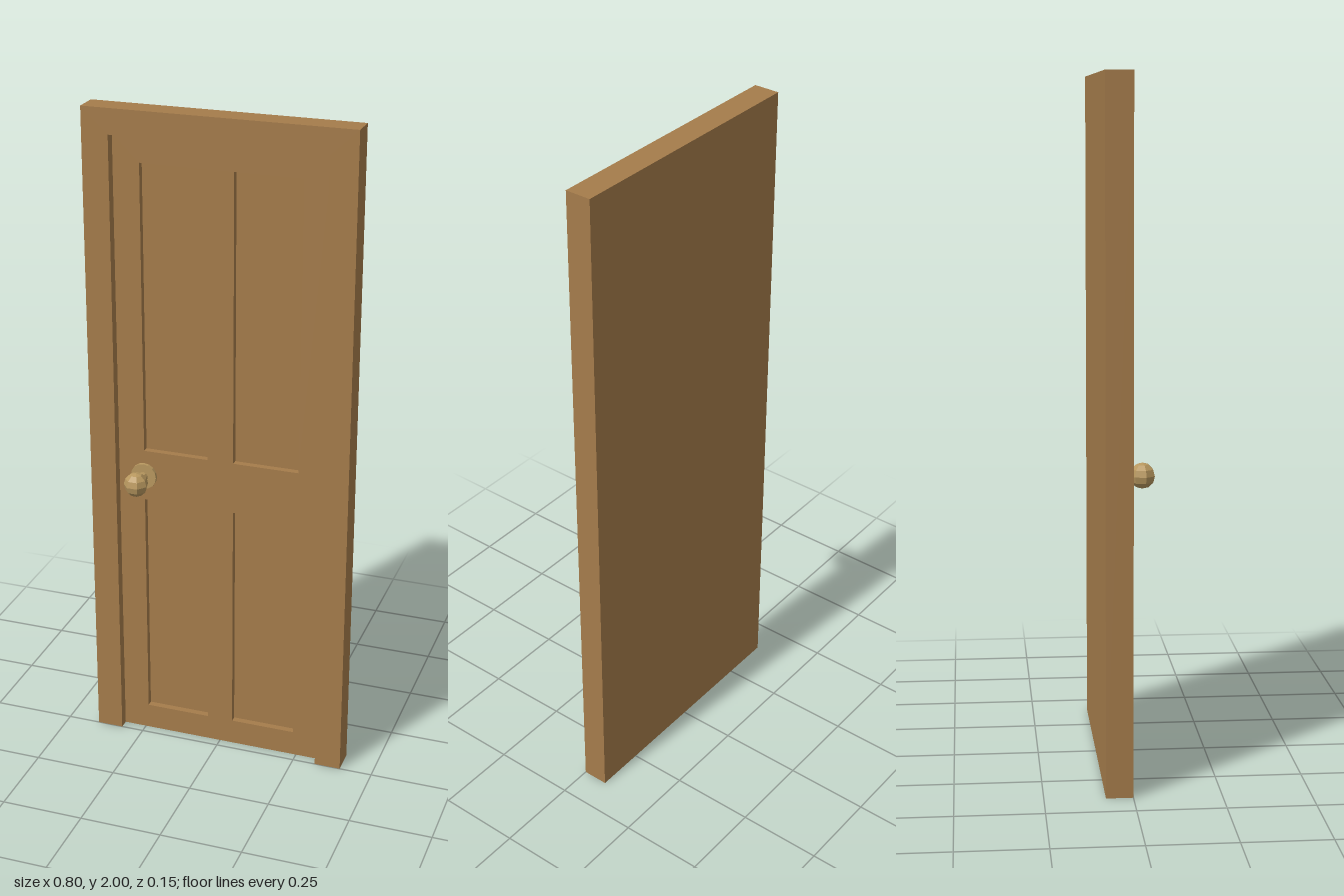
import * as THREE from 'three';

const BACK = -0.077, LEAF = -0.03, PANEL = -0.05;

function polygon(points, Type = THREE.Shape) {
  return new Type(points.map(([x, y]) => new THREE.Vector2(x, y)));
}

function rect(x0, y0, x1, y1, Type) {
  return polygon([[x0, y0], [x1, y0], [x1, y1], [x0, y1]], Type);
}

function slab(shape, z0, z1) {
  const g = new THREE.ExtrudeGeometry(shape, { depth: z1 - z0, bevelEnabled: false });
  return g.translate(0, 0, z0);
}

export function createModel() {
  const wood = new THREE.MeshStandardMaterial({ color: 0xa57c4b });
  wood.name = 'wood';
  const brass = new THREE.MeshStandardMaterial({ color: 0xb8985f });
  brass.name = 'brass';
  brass.flatShading = true;

  const model = new THREE.Group();
  model.name = 'door';
  const add = (name, geometry, material, parent = model) => {
    const mesh = new THREE.Mesh(geometry, material);
    mesh.name = name;
    parent.add(mesh);
    return mesh;
  };

  // Surround: two jambs and a head, open at the floor
  add('frame', slab(polygon([
    [-0.4, 0], [-0.32, 0], [-0.32, 1.925], [0.32, 1.925],
    [0.32, 0], [0.4, 0], [0.4, 2], [-0.4, 2],
  ]), BACK, 0), wood);

  // Leaf with four sunken panels
  const leaf = rect(-0.32, 0, 0.32, 1.925);
  for (const x of [-0.24, 0.04]) {
    for (const [y0, y1] of [[0.08, 0.805], [0.965, 1.845]]) {
      leaf.holes.push(rect(x, y0, x + 0.2, y1, THREE.Path));
    }
  }
  add('leaf', slab(leaf, PANEL, LEAF), wood);
  add('panelBacking', slab(rect(-0.32, 0, 0.32, 1.925), BACK, PANEL), wood);

  // Knob on a round rose and a short neck
  const handle = new THREE.Group();
  handle.name = 'handle';
  handle.position.set(-0.24, 0.885, 0);
  model.add(handle);
  const disc = (r, z0, z1, sides) =>
    new THREE.CylinderGeometry(r, r, z1 - z0, sides).rotateX(Math.PI / 2).translate(0, 0, (z0 + z1) / 2);
  add('rose', disc(0.04, LEAF, LEAF + 0.01, 16), brass, handle);
  add('neck', disc(0.014, LEAF + 0.01, 0.015, 10), brass, handle);
  add('knob', new THREE.SphereGeometry(0.037, 7, 6).rotateY(-Math.PI / 2).translate(0, 0, 0.039), brass, handle);

  return model;
}
